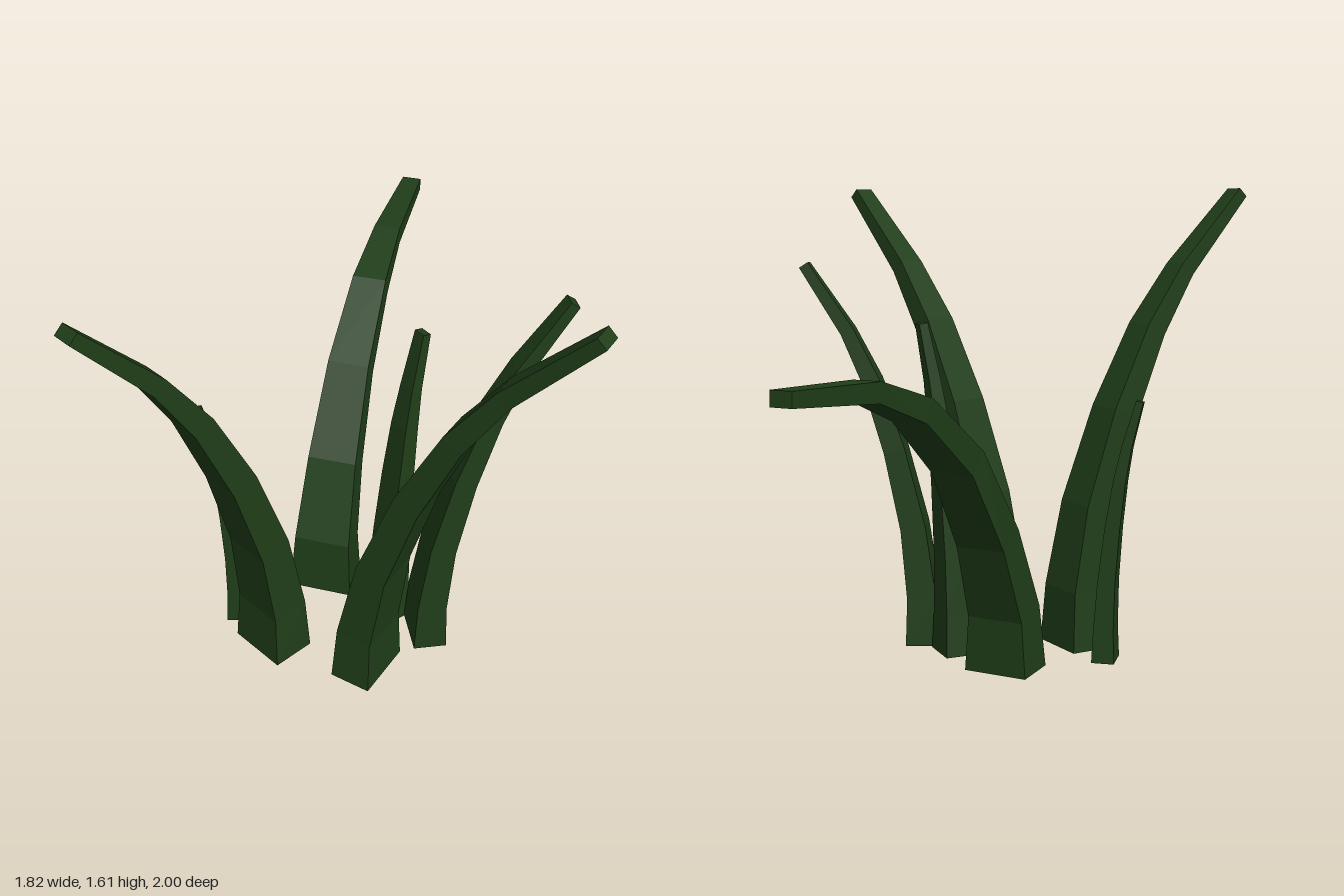
import * as THREE from 'three';

const material = new THREE.MeshStandardMaterial({ color: 0x1f3d18, flatShading: true });

// Bending lines as [outward, height] from the blade's foot
const tallBend = [[0, 0.01], [0.003, 0.21], [0.053, 0.505], [0.163, 0.833], [0.3, 1.12], [0.443, 1.328], [0.7, 1.6]];
const archedBend = [[0, 0.01], [0.01, 0.21], [0.12, 0.48], [0.31, 0.76], [0.57, 0.955], [0.81, 1.035], [1.2, 1.058]];
const scaled = (out, up) => tallBend.map(([s, y]) => [s * out, y * up]);

// Position and direction are [x, z]; width and thickness are [foot, tip]
const blades = [
  { name: 'archedBackBlade', at: [0.085, -0.08], dir: [0.66, -0.75], width: [0.227, 0.07], thick: [0.15, 0.045], bend: archedBend },
  { name: 'tallFrontBlade', at: [0.025, 0.38], dir: [0.547, 0.837], width: [0.225, 0.075], thick: [0.145, 0.042], bend: tallBend },
  { name: 'tallRightBlade', at: [-0.22, 0.135], dir: [-0.953, 0.305], width: [0.215, 0.07], thick: [0.155, 0.042], bend: tallBend },
  { name: 'mediumLeftBlade', at: [0.29, 0.32], dir: [0.961, 0.276], width: [0.175, 0.052], thick: [0.116, 0.035], bend: scaled(0.58, 0.842) },
  { name: 'slimLeftBlade', at: [0.222, 0.155], dir: [0.985, -0.17], width: [0.147, 0.045], thick: [0.095, 0.03], bend: scaled(0.145, 0.725) },
  { name: 'smallRightBlade', at: [-0.273, -0.057], dir: [-0.89, -0.45], width: [0.112, 0.035], thick: [0.078, 0.025], bend: scaled(0.16, 0.565) },
];

// Tapering rectangular section swept along a bending line
function bladeGeometry({ at, dir, width, thick, bend }) {
  const d = new THREE.Vector2(...dir).normalize();
  const positions = [];
  const index = [];
  const last = bend.length - 1;
  bend.forEach(([s, y], i) => {
    const a = bend[Math.max(i - 1, 0)];
    const b = bend[Math.min(i + 1, last)];
    const tangent = new THREE.Vector2(b[0] - a[0], b[1] - a[1]).normalize();
    const w = THREE.MathUtils.lerp(...width, i / last) / 2;
    const t = THREE.MathUtils.lerp(...thick, i / last) / 2;
    for (const [u, v] of [[-1, -1], [-1, 1], [1, 1], [1, -1]]) {
      const out = s + v * t * tangent.y;
      positions.push(
        at[0] + d.x * out + d.y * u * w,
        y - v * t * tangent.x,
        at[1] + d.y * out - d.x * u * w
      );
    }
  });
  for (let i = 0; i < last; i++) {
    for (let k = 0; k < 4; k++) {
      const p = i * 4 + k;
      const q = i * 4 + (k + 1) % 4;
      index.push(p, q, q + 4, p, q + 4, p + 4);
    }
  }
  // Foot and tip caps
  const e = last * 4;
  index.push(0, 2, 1, 0, 3, 2, e, e + 1, e + 2, e, e + 2, e + 3);

  const indexed = new THREE.BufferGeometry();
  indexed.setAttribute('position', new THREE.Float32BufferAttribute(positions, 3));
  indexed.setIndex(index);
  const geometry = indexed.toNonIndexed();
  geometry.computeVertexNormals();
  return geometry;
}

export function createModel() {
  const group = new THREE.Group();
  group.name = 'grassTuft';
  for (const blade of blades) {
    const mesh = new THREE.Mesh(bladeGeometry(blade), material);
    mesh.name = blade.name;
    group.add(mesh);
  }
  return group;
}
